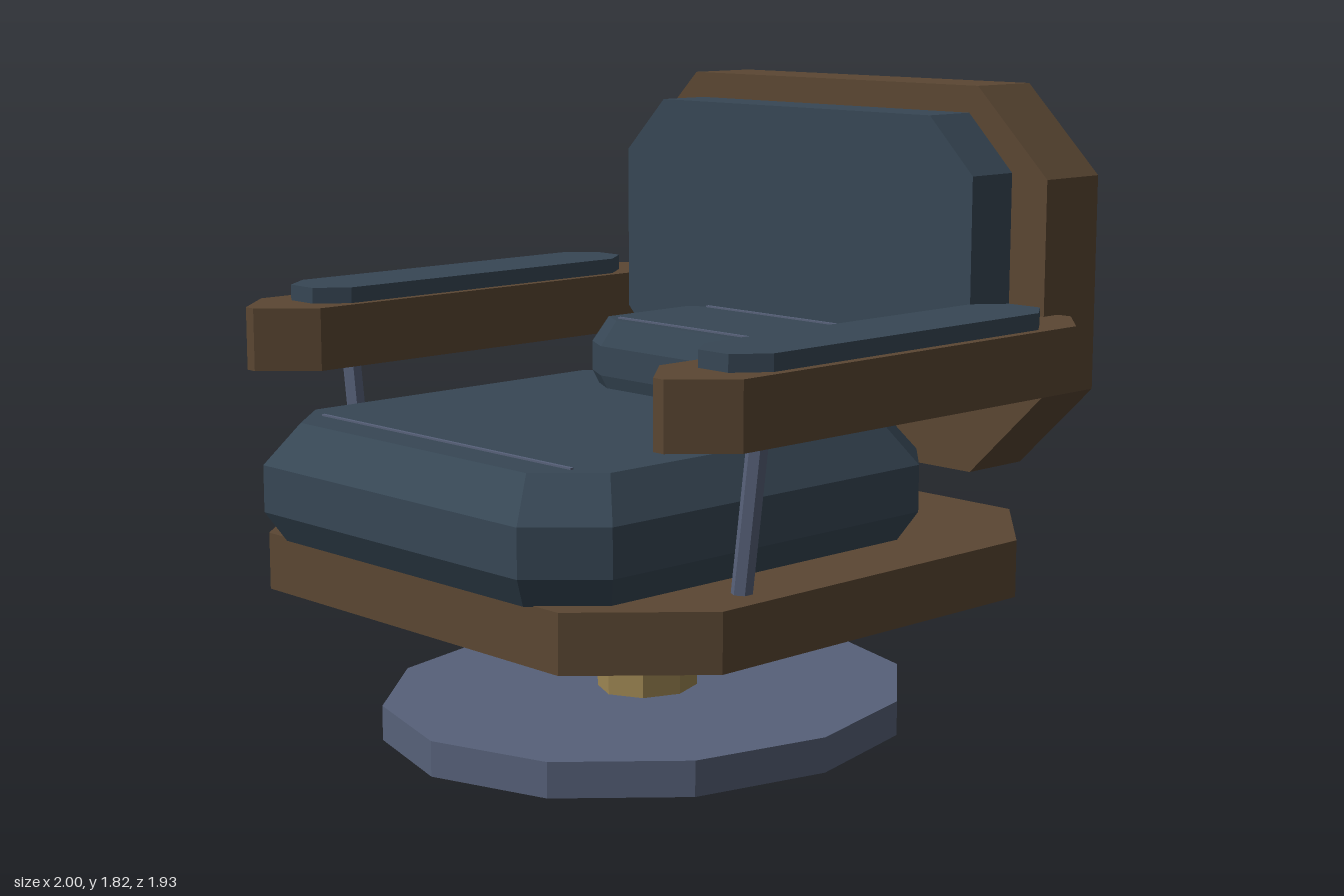
import * as THREE from 'three';

const material = (name, color) => {
  const m = new THREE.MeshStandardMaterial({ color, flatShading: true });
  m.name = name;
  return m;
};

// Octagonal block along y: half sizes hx, hz with corners cut by cx, cz.
// layers: [y, scale] from bottom to top.
function octagonBlock(hx, hz, cx, cz, layers) {
  const ring = [
    [-hx + cx, hz], [hx - cx, hz], [hx, hz - cz], [hx, -hz + cz],
    [hx - cx, -hz], [-hx + cx, -hz], [-hx, -hz + cz], [-hx, hz - cz],
  ];
  const n = ring.length;
  const pos = [];
  const put = (layer, i) => {
    const [y, s] = layer;
    const [x, z] = ring[i % n];
    pos.push(x * s, y, z * s);
  };
  for (let l = 0; l < layers.length - 1; l++) {
    const a = layers[l], b = layers[l + 1];
    for (let i = 0; i < n; i++) {
      put(a, i); put(a, i + 1); put(b, i + 1);
      put(a, i); put(b, i + 1); put(b, i);
    }
  }
  const bottom = layers[0], top = layers[layers.length - 1];
  for (let i = 1; i < n - 1; i++) {
    put(top, 0); put(top, i); put(top, i + 1);
    put(bottom, 0); put(bottom, i + 1); put(bottom, i);
  }
  const g = new THREE.BufferGeometry();
  g.setAttribute('position', new THREE.Float32BufferAttribute(pos, 3));
  g.computeVertexNormals();
  return g;
}

const slab = (hx, hz, cx, cz, h) => octagonBlock(hx, hz, cx, cz, [[-h / 2, 1], [h / 2, 1]]);

// Cushion with bevelled top and bottom
const cushion = (hx, hz, h) => octagonBlock(hx, hz, hx * 0.23, hz * 0.233,
  [[0, 0.935], [h * 0.25, 1], [h * 0.65, 1], [h, 0.886]]);

export function createModel() {
  const wood = material('brown wood', 0x5b4733);
  const fabric = material('slate blue fabric', 0x374755);
  const metal = material('blue grey metal', 0x576179);
  const brass = material('brass', 0x9c8552);

  const model = new THREE.Group();
  model.name = 'armchair';
  const add = (name, geometry, mat, x, y, z, parent = model) => {
    const mesh = new THREE.Mesh(geometry, mat);
    mesh.name = name;
    mesh.position.set(x, y, z);
    parent.add(mesh);
    return mesh;
  };

  // Pedestal
  add('base', new THREE.CylinderGeometry(1, 1, 0.1, 12), metal, 0, 0.05, 0.015).scale.set(0.707, 1, 0.8);
  add('post', new THREE.CylinderGeometry(1, 1, 0.33, 8), brass, 0, 0.262, 0.013).scale.set(0.136, 1, 0.152);

  // Seat
  add('seatFrame', slab(0.888, 0.88, 0.273, 0.305, 0.162), wood, 0, 0.506, 0.015);
  add('seatCushion', cushion(0.7, 0.748, 0.332), fabric, 0, 0.585, 0.214);
  for (const z of [0.765, -0.345]) {
    add('seatSeam', new THREE.BoxGeometry(1.05, 0.006, 0.01), metal, 0, 0.919, z);
  }

  // Backrest
  add('backFrame', slab(0.825, 0.557, 0.255, 0.25, 0.23).rotateX(Math.PI / 2), wood, 0, 1.266, -0.85);
  add('backCushion', slab(0.7, 0.409, 0.16, 0.161, 0.172).rotateX(Math.PI / 2), fabric, 0, 1.337, -0.65);

  // Lumbar pillow
  add('lumbarPillow', cushion(0.435, 0.245, 0.22), fabric, 0, 0.9, -0.357);
  for (const z of [-0.547, -0.18]) {
    add('pillowSeam', new THREE.BoxGeometry(0.655, 0.006, 0.01), metal, 0, 1.122, z);
  }

  // Arms, mirrored left and right
  for (const [side, s] of [['left', 1], ['right', -1]]) {
    const arm = new THREE.Group();
    arm.name = side + 'Arm';
    model.add(arm);
    add('armRest', slab(0.147, 0.788, 0.129, 0.143, 0.182), wood, s * 0.853, 1.099, -0.01, arm);
    add('armPad', slab(0.12, 0.604, 0.067, 0.09, 0.046), fabric, s * 0.853, 1.213, -0.01, arm);
    const strut = add('armSupport', new THREE.CylinderGeometry(0.029, 0.029, 0.45, 6),
      metal, s * 0.818, 0.798, 0.425, arm);
    strut.rotation.z = -s * Math.atan2(0.056, 0.423);
  }
  return model;
}
